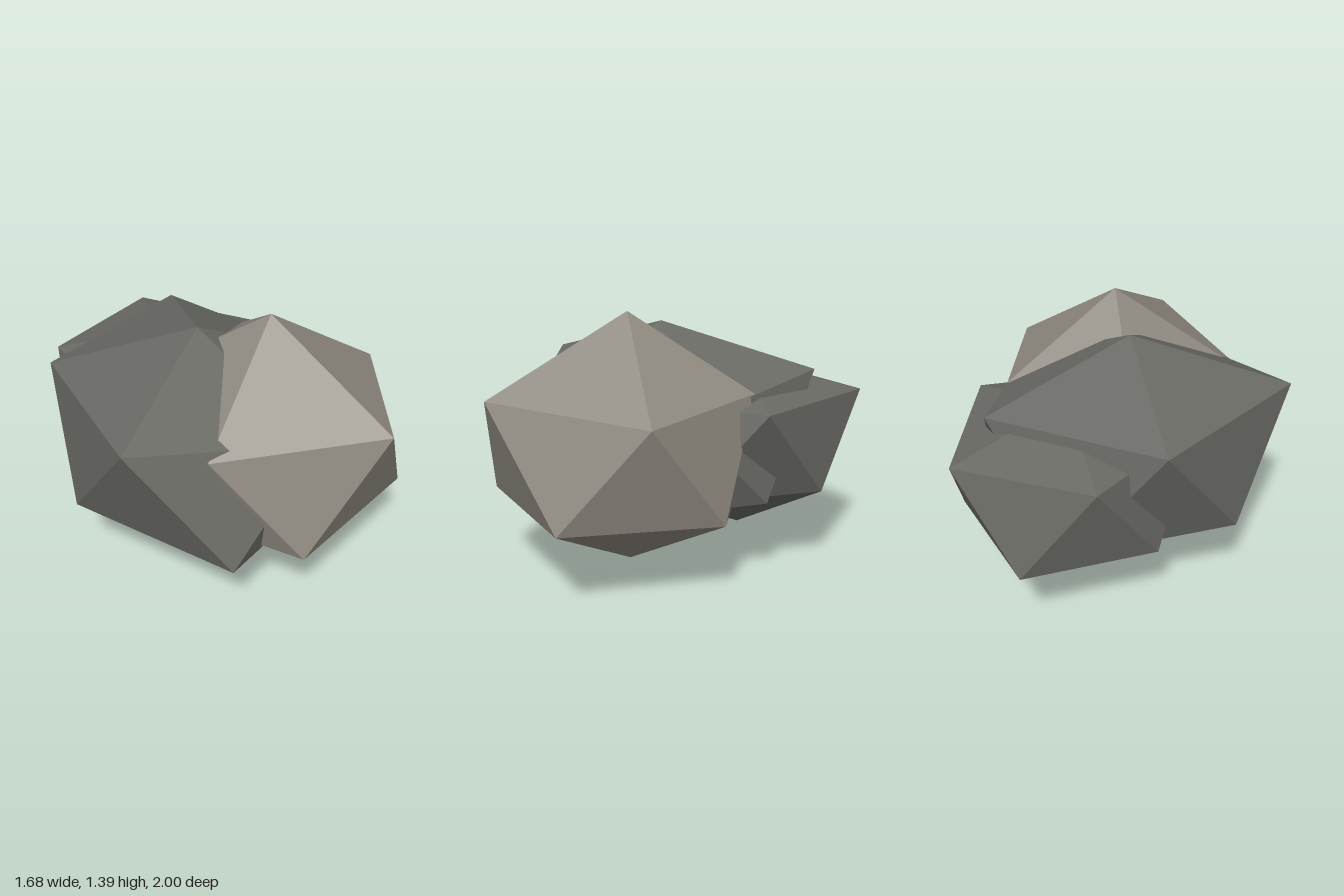
import * as THREE from 'three';

const lightStone = new THREE.MeshStandardMaterial({ color: 0x8e897f });
lightStone.name = 'light stone';
const darkStone = new THREE.MeshStandardMaterial({ color: 0x686963 });
darkStone.name = 'dark stone';
lightStone.flatShading = darkStone.flatShading = true;

// A twenty-sided boulder: apex, staggered upper and lower rings of five, and base point.
function boulder(name, material, apex, upper, lower, base) {
  const corners = [];
  for (let i = 0; i < 5; i++) {
    const j = (i + 1) % 5;
    corners.push(
      apex, upper[j], upper[i],
      upper[i], upper[j], lower[i],
      lower[i], upper[j], lower[j],
      base, lower[i], lower[j]
    );
  }
  const geometry = new THREE.BufferGeometry();
  geometry.setAttribute('position', new THREE.Float32BufferAttribute(corners.flat(), 3));
  geometry.computeVertexNormals();
  const mesh = new THREE.Mesh(geometry, material);
  mesh.name = name;
  return mesh;
}

export function createModel() {
  const group = new THREE.Group();
  group.name = 'rockCluster';

  // Tall pale boulder at the front
  group.add(boulder('frontBoulder', lightStone,
    [0.16, 1.39, 0.28],
    [[0.83, 0.95, 0.26], [0.39, 1.01, 1.0], [-0.42, 0.95, 0.67], [-0.36, 0.97, -0.17], [0.38, 0.99, -0.33]],
    [[0.735, 0.43, 0.7], [-0.06, 0.43, 0.97], [-0.5, 0.43, 0.28], [-0.05, 0.42, -0.38], [0.68, 0.41, -0.12]],
    [0.16, 0.06, 0.28]));

  // Broad dark boulder on the side
  group.add(boulder('sideBoulder', darkStone,
    [-0.13, 1.29, 0.06],
    [[0.64, 0.92, 0.06], [0.12, 0.93, 0.78], [-0.8, 1.05, 0.55], [-0.75, 1.03, -0.4], [0.13, 1.05, -0.72]],
    [[0.46, 0.38, 0.5], [-0.39, 0.41, 0.86], [-0.85, 0.45, 0.06], [-0.36, 0.42, -0.66], [0.48, 0.44, -0.38]],
    [-0.13, 0, 0.06]));

  // Low dark boulder at the back
  group.add(boulder('backBoulder', darkStone,
    [-0.07, 1.07, -0.36],
    [[0.56, 0.92, -0.36], [0.12, 0.92, 0.25], [-0.57, 0.92, 0.03], [-0.59, 0.92, -0.71], [0.08, 0.92, -1.0]],
    [[0.42, 0.44, 0.02], [-0.27, 0.44, 0.25], [-0.68, 0.44, -0.36], [-0.31, 0.43, -0.95], [0.35, 0.44, -0.71]],
    [-0.07, 0.14, -0.36]));

  return group;
}
